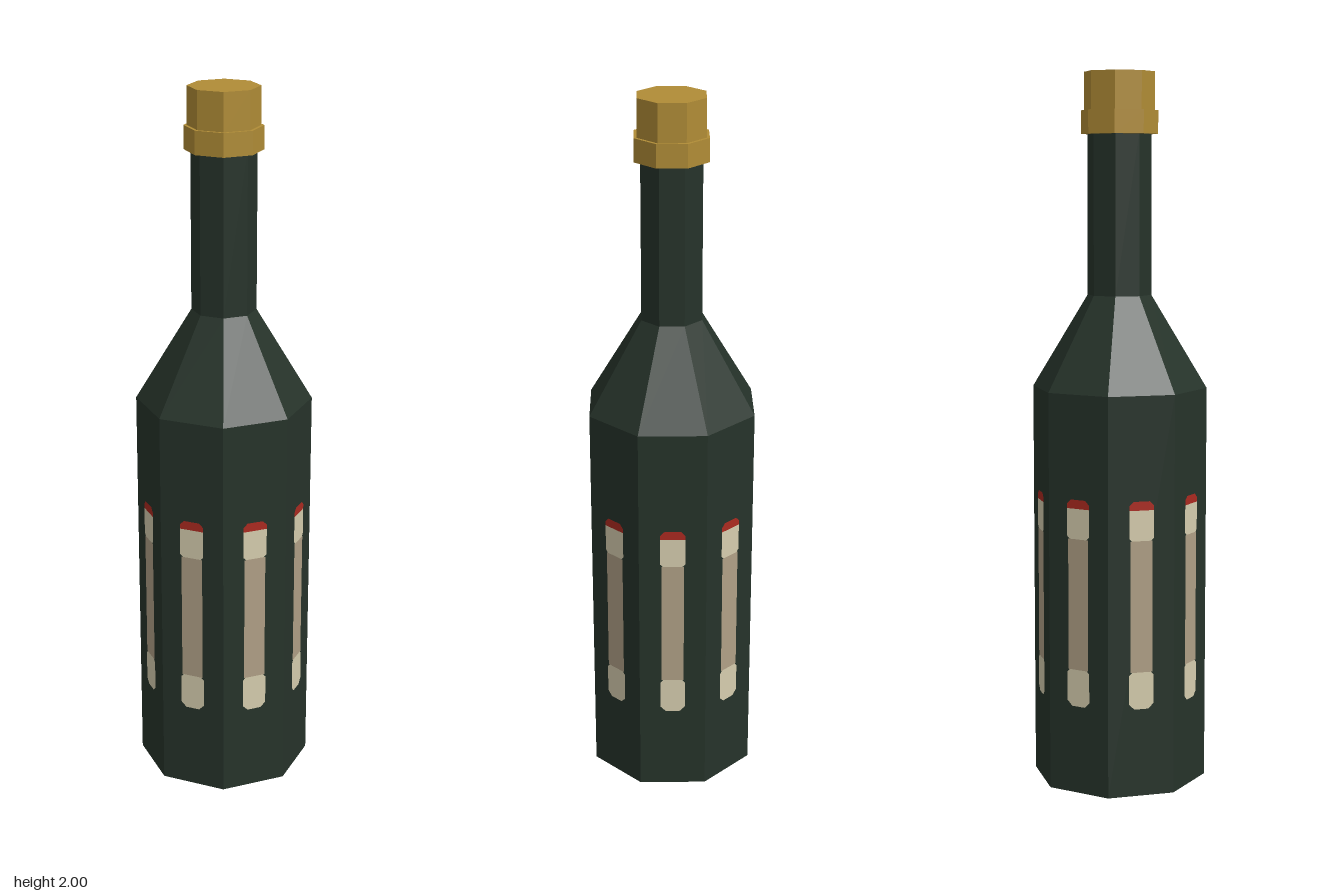
import * as THREE from 'three';

const SIDES = 8;
const BODY_R = 0.247;

function material(name, color) {
  const m = new THREE.MeshStandardMaterial({ color });
  m.name = name;
  return m;
}

// Eight-sided section with flat faces; corners lie on the x and z axes
function section(name, mat, rTop, rBottom, y0, y1, open = true) {
  const geo = new THREE.CylinderGeometry(rTop, rBottom, y1 - y0, SIDES, 1, open)
    .translate(0, (y0 + y1) / 2, 0)
    .toNonIndexed();
  geo.computeVertexNormals();
  const mesh = new THREE.Mesh(geo, mat);
  mesh.name = name;
  return mesh;
}

// Flat strip between y0 and y1 with cut corners (cutLow at the bottom, cutHigh at the top)
function strip(w, y0, y1, cutLow = 0, cutHigh = 0) {
  const h = w / 2;
  const points = [
    [-h + cutLow, y0], [h - cutLow, y0], [h, y0 + cutLow],
    [h, y1 - cutHigh], [h - cutHigh, y1], [-h + cutHigh, y1],
    [-h, y1 - cutHigh], [-h, y0 + cutLow],
  ];
  return new THREE.ShapeGeometry(new THREE.Shape(points.map(([x, y]) => new THREE.Vector2(x, y))));
}

export function createModel() {
  const glass = material('dark green glass', 0x26332a);
  const gold = material('gold cap', 0xb08c36);
  const cream = material('cream label', 0xd6cdae);
  const tan = material('tan label', 0xb0a086);
  const red = material('red label edge', 0xac2a20);

  const model = new THREE.Group();
  model.name = 'bottle';

  // Glass
  model.add(
    section('body', glass, BODY_R, BODY_R, 0, 1.125, false),
    section('shoulder', glass, 0.09, BODY_R, 1.125, 1.385),
    section('neck', glass, 0.09, 0.09, 1.385, 1.84),
  );

  // Cap
  model.add(
    section('capCollar', gold, 0.108, 0.108, 1.83, 1.895, false),
    section('capTop', gold, 0.099, 0.099, 1.89, 2, false),
  );

  // One narrow label on every side of the body
  const pieces = [
    ['labelFoot', strip(0.07, 0.25, 0.355, 0.015, 0.008), cream],
    ['labelMiddle', strip(0.063, 0.355, 0.725), tan],
    ['labelHead', strip(0.07, 0.725, 0.81, 0.008), cream],
    ['labelEdge', strip(0.07, 0.81, 0.835, 0, 0.012), red],
  ];
  const apothem = BODY_R * Math.cos(Math.PI / SIDES);
  for (let i = 0; i < SIDES; i++) {
    const label = new THREE.Group();
    label.name = 'label' + (i + 1);
    for (const [name, geo, mat] of pieces) {
      const mesh = new THREE.Mesh(geo, mat);
      mesh.name = name;
      mesh.position.z = apothem + 0.002;
      label.add(mesh);
    }
    label.rotation.y = ((i + 0.5) / SIDES) * Math.PI * 2;
    model.add(label);
  }

  // Two rounded strips under the base
  const baseGeo = strip(0.09, -0.165, 0.165, 0.03, 0.03).rotateZ(Math.PI / 2).rotateX(Math.PI / 2);
  for (const z of [-0.11, 0.11]) {
    const mesh = new THREE.Mesh(baseGeo, tan);
    mesh.name = z < 0 ? 'baseStripBack' : 'baseStripFront';
    mesh.position.set(0, -0.002, z);
    model.add(mesh);
  }

  return model;
}
